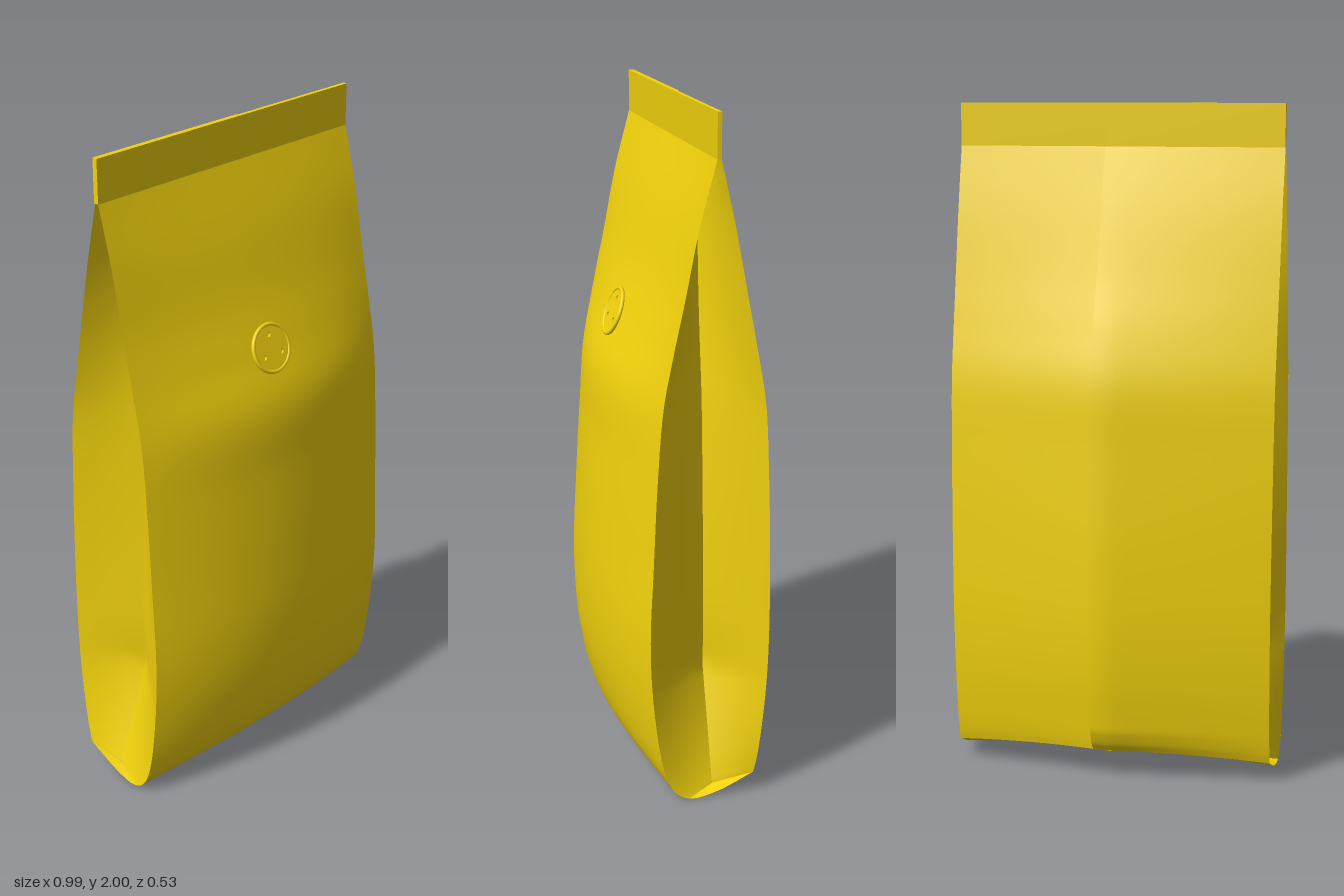
import * as THREE from 'three';

const W = 0.483; // half width
const mat = new THREE.MeshStandardMaterial({ color: 0xf2d20c, side: THREE.DoubleSide });
const lerp = THREE.MathUtils.lerp;

// Surface from a rule f(u, v) -> [x, y, z], u and v in 0..1
function panel(name, nu, nv, f) {
  const pos = [], idx = [];
  for (let j = 0; j <= nv; j++)
    for (let i = 0; i <= nu; i++) {
      pos.push(...f(i / nu, j / nv));
      if (i < nu && j < nv) {
        const a = j * (nu + 1) + i, b = a + nu + 1;
        idx.push(a, a + 1, b, b, a + 1, b + 1);
      }
    }
  const g = new THREE.BufferGeometry();
  g.setAttribute('position', new THREE.Float32BufferAttribute(pos, 3));
  g.setIndex(idx);
  g.computeVertexNormals();
  return named(name, g);
}

function named(name, geometry) {
  const m = new THREE.Mesh(geometry, mat);
  m.name = name;
  return m;
}

// Side profiles: [height, depth at the middle, depth at the side edge]
const profile = rows => new THREE.CatmullRomCurve3(
  rows.map(([y, c, e]) => new THREE.Vector3(c, y, e)), false, 'centripetal');

const frontCurve = profile([
  [0.06, -0.195, -0.12], [0.012, -0.03, -0.01], // underside
  [0, 0.1, 0.075], [0.03, 0.17, 0.12], [0.1, 0.22, 0.15], [0.3, 0.265, 0.18],
  [0.5, 0.277, 0.19], [0.75, 0.266, 0.18], [1, 0.247, 0.168], [1.2, 0.23, 0.152],
  [1.36, 0.172, 0.122], [1.5, 0.122, 0.092], [1.7, 0.064, 0.052], [1.875, 0.006, 0.006],
]);
const backCurve = profile([
  [0.06, -0.195, -0.12], [0.09, -0.2, -0.128], [0.15, -0.207, -0.138], [0.32, -0.224, -0.155],
  [0.5, -0.231, -0.162], [0.75, -0.226, -0.16], [1, -0.212, -0.152], [1.2, -0.198, -0.14],
  [1.36, -0.155, -0.112], [1.5, -0.112, -0.085], [1.7, -0.056, -0.046], [1.875, -0.006, -0.006],
]);
const T0 = 2 / 13; // where the front curve leaves the underside

// The bottom edge arches up towards the middle
const arch = (y, t) => y + 0.035 * (1 - t * t) * Math.max(0, 1 - y / 0.3);

function frontPoint(u, v) {
  const t = u * 2 - 1, p = frontCurve.getPoint(v);
  const power = Math.min(2, 1 + v * 6);
  return [t * W, arch(p.y, t), lerp(p.z, p.x, 1 - Math.abs(t) ** power)];
}

// Point on the back; lift moves the overlapping half outwards
function backPoint(t, v, lift) {
  const p = backCurve.getPoint(v);
  const fade = Math.min(1, v * 6, (1 - v) * 3 + 0.15);
  return [t * W, arch(p.y, t), lerp(p.z, p.x, 1 - Math.abs(t)) - lift * 0.025 * fade];
}

// One half of an inward-folded side: from the front or back edge to the centre crease
function gussetPoint(side, isFront, k, v) {
  const a = frontCurve.getPoint(T0 + (1 - T0) * v), b = backCurve.getPoint(v);
  const half = (a.z - b.z) / 2, e = isFront ? a : b;
  const depth = Math.min(0.02 + 0.3 * a.y, Math.sqrt(Math.max(0, 0.215 ** 2 - half ** 2)));
  return [side * (W - depth * k), lerp(e.y, (a.y + b.y) / 2, k), lerp(e.z, 0, k)];
}

function createValve() {
  const valve = new THREE.Group();
  valve.name = 'valve';
  const disc = new THREE.Shape().absarc(0, 0, 0.064, 0, Math.PI * 2);
  for (let i = 0; i < 3; i++) {
    const a = Math.PI / 2 + i * Math.PI * 2 / 3;
    disc.holes.push(new THREE.Path().absarc(Math.cos(a) * 0.04, Math.sin(a) * 0.04, 0.007, 0, Math.PI * 2, true));
  }
  const plate = named('valvePlate', new THREE.ExtrudeGeometry(disc, { depth: 0.008, bevelEnabled: false, curveSegments: 24 }));
  const rim = named('valveRim', new THREE.TorusGeometry(0.069, 0.006, 8, 40));
  rim.position.z = 0.005;
  valve.add(plate, rim);
  valve.position.set(0, 1.36, 0.171);
  valve.rotation.x = -0.35;
  return valve;
}

export function createModel() {
  const bag = new THREE.Group();
  bag.name = 'bag';

  // Front wrapping under the bottom
  bag.add(panel('frontAndBottom', 24, 78, frontPoint));

  // Back in two halves, the right one lapping over the left at the seam
  const seam = 0.09;
  bag.add(
    panel('backLeft', 12, 60, (u, v) => backPoint(1 - u, v, 0)),
    panel('backRight', 14, 60, (u, v) => {
      const t = lerp(seam, -1, u);
      return backPoint(t, v, (t + 1) / (1 + seam));
    }),
    panel('seamEdge', 1, 60, (u, v) => backPoint(seam, v, u)),
  );

  // Folded sides
  for (const [side, label] of [[1, 'left'], [-1, 'right']])
    for (const isFront of [true, false]) {
      const flip = (side > 0) !== isFront;
      bag.add(panel(label + (isFront ? 'GussetFront' : 'GussetBack'), 4, 60,
        (u, v) => gussetPoint(side, isFront, flip ? 1 - u : u, v)));
    }

  // Pressed top seal, with the lap continuing up its back
  const seal = named('topSeal', new THREE.BoxGeometry(W * 2, 0.125, 0.012));
  seal.position.y = 1.9375;
  const lapWidth = W * (1 + seam);
  const lap = named('sealLap', new THREE.BoxGeometry(lapWidth, 0.125, 0.004));
  lap.position.set(-W + lapWidth / 2, 1.9375, -0.008);
  bag.add(seal, lap, createValve());

  // The bag stands slightly turned
  bag.rotation.y = 0.067;
  bag.position.z = -0.012;
  const model = new THREE.Group();
  model.name = 'model';
  model.add(bag);
  return model;
}
